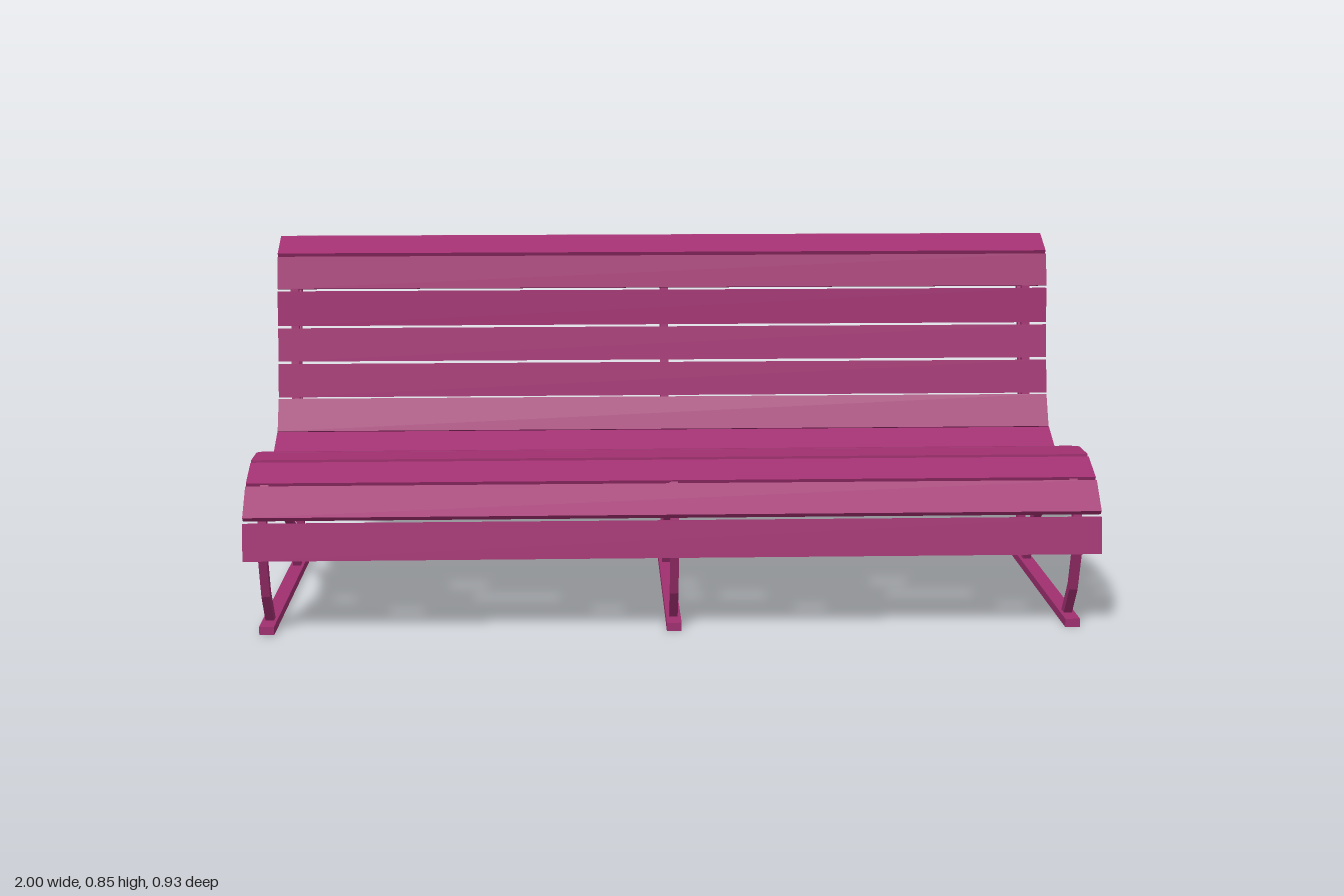
import * as THREE from 'three';

const material = new THREE.MeshStandardMaterial({ color: 0xa03070, flatShading: true });

// Flat bar of constant thickness following a side profile of [z, y] points, extruded along x
function bar(name, points, thickness, width) {
  const pts = points.map(([z, y]) => new THREE.Vector2(z, y));
  const left = [], right = [];
  pts.forEach((p, i) => {
    const a = p.clone().sub(pts[Math.max(i - 1, 0)]).normalize();
    const b = pts[Math.min(i + 1, pts.length - 1)].clone().sub(p).normalize();
    const dir = a.clone().add(b).normalize();
    const cosHalf = Math.max(dir.dot(i ? a : b), 0.5);
    const offset = new THREE.Vector2(-dir.y, dir.x).multiplyScalar(thickness / 2 / cosHalf);
    left.push(p.clone().add(offset));
    right.unshift(p.clone().sub(offset));
  });
  const geometry = new THREE.ExtrudeGeometry(new THREE.Shape([...left, ...right]), {
    depth: width, bevelEnabled: false,
  });
  geometry.translate(0, 0, -width / 2).rotateY(-Math.PI / 2);
  const mesh = new THREE.Mesh(geometry, material);
  mesh.name = name;
  return mesh;
}

// Front leg curling up into the seat and backrest support
const seatProfile = [
  [0.342, 0.012], [0.402, 0.096], [0.434, 0.195], [0.419, 0.282], [0.362, 0.342], [0.29, 0.364],
  [0.193, 0.367], [0.086, 0.347], [-0.031, 0.317], [-0.121, 0.31], [-0.19, 0.34], [-0.238, 0.427],
  [-0.272, 0.611], [-0.287, 0.733], [-0.31, 0.797], [-0.367, 0.825], [-0.39, 0.823],
];
const backLegProfile = [
  [-0.393, 0.825], [-0.354, 0.718], [-0.312, 0.578], [-0.275, 0.4], [-0.248, 0.248],
  [-0.243, 0.138], [-0.257, 0.012],
];
const braceProfile = [
  [0.419, 0.283], [0.288, 0.292], [0.18, 0.267], [0.063, 0.228], [-0.048, 0.163],
  [-0.113, 0.103], [-0.162, 0.012],
];

// Start and end of each slat, from the front lip over the seat and up the back
const slatProfiles = [
  [[0.456, 0.189], [0.442, 0.275]],
  [[0.439, 0.284], [0.377, 0.345]],
  [[0.368, 0.348], [0.286, 0.38]],
  [[0.277, 0.383], [0.19, 0.383]],
  [[0.182, 0.382], [0.093, 0.365]],
  [[0.09, 0.362], [0.002, 0.34]],
  [[-0.002, 0.338], [-0.096, 0.32]],
  [[-0.099, 0.322], [-0.18, 0.36]],
  [[-0.188, 0.364], [-0.228, 0.442]],
  [[-0.232, 0.447], [-0.246, 0.532]],
  [[-0.249, 0.538], [-0.263, 0.623]],
  [[-0.265, 0.629], [-0.272, 0.718]],
  [[-0.274, 0.724], [-0.293, 0.805]],
  [[-0.297, 0.808], [-0.374, 0.845]],
  [[-0.377, 0.844], [-0.461, 0.814]],
];

export function createModel() {
  const bench = new THREE.Group();
  bench.name = 'bench';

  // Three identical support frames
  for (const x of [-0.957, 0, 0.947]) {
    const frame = new THREE.Group();
    frame.name = 'supportFrame';
    frame.position.x = x;
    frame.add(
      bar('seatSupport', seatProfile, 0.022, 0.02),
      bar('backLeg', backLegProfile, 0.022, 0.02),
      bar('archBrace', braceProfile, 0.02, 0.02),
      bar('footRail', [[0.416, 0.01], [-0.31, 0.01]], 0.02, 0.035),
    );
    bench.add(frame);
  }

  // Full-length slats
  const slats = new THREE.Group();
  slats.name = 'slats';
  for (const profile of slatProfiles) slats.add(bar('slat', profile, 0.014, 2));
  bench.add(slats);

  return bench;
}
